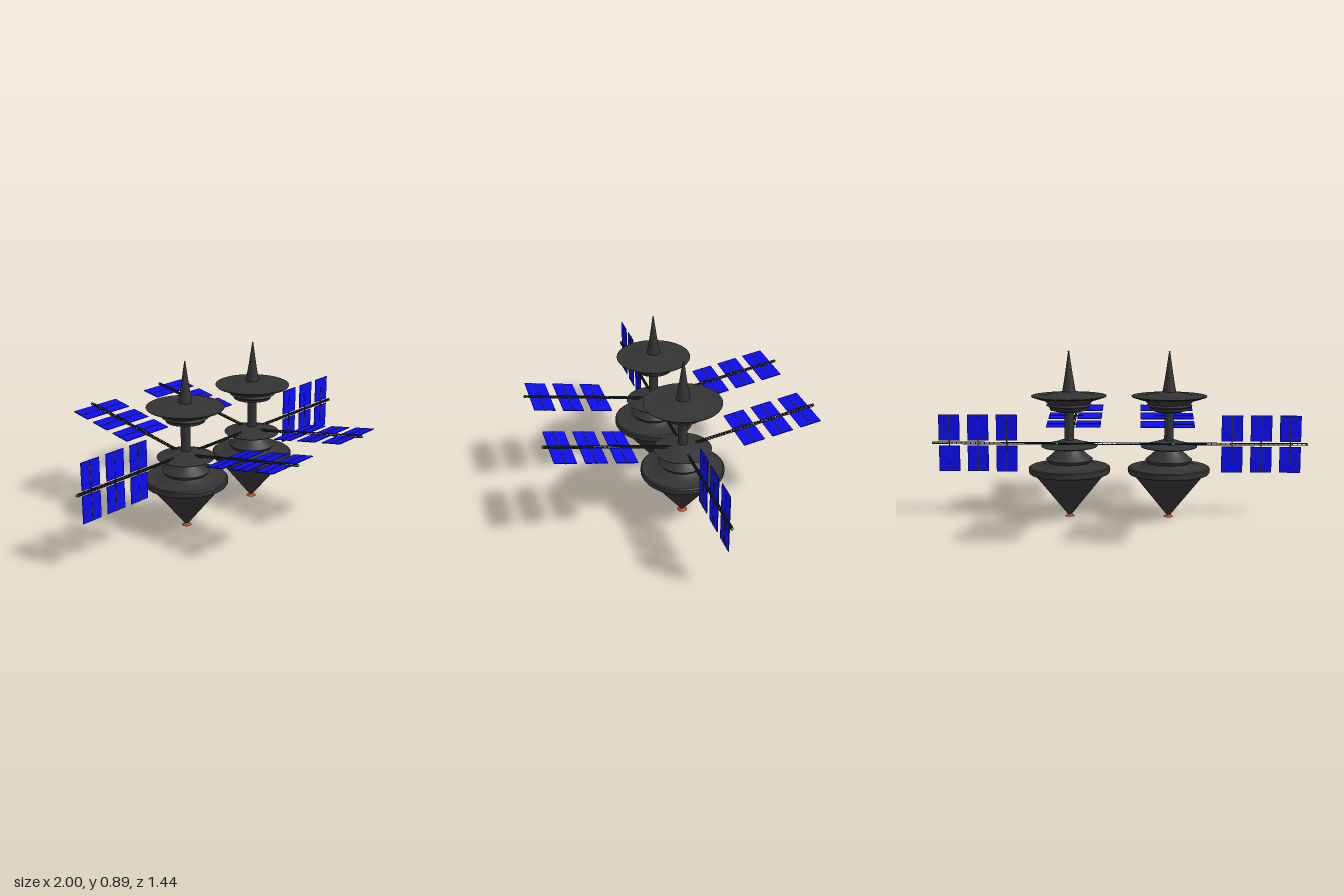
import * as THREE from 'three';
import { toCreasedNormals } from 'three/addons/utils/BufferGeometryUtils.js';

const mat = (color, side = THREE.FrontSide) => new THREE.MeshStandardMaterial({ color, side });
const hullMat = mat(0x333333, THREE.DoubleSide);
const railMat = mat(0x2b2f2b);
const blueMat = mat(0x0c0cf0);
const redMat = mat(0xee1111, THREE.DoubleSide);
const greenMat = mat(0x22aa33);
const orangeMat = mat(0xb5431c, THREE.DoubleSide);
const lampMat = mat(0xcccccc);

const HUB_Y = 0.435;   // height of the truss arms
const SHIP_X = 0.265;  // offset of each station from the middle

function add(parent, name, geometry, material, x = 0, y = 0, z = 0) {
  const mesh = new THREE.Mesh(geometry, material);
  mesh.name = name;
  mesh.position.set(x, y, z);
  parent.add(mesh);
  return mesh;
}

// Turned part from [radius, height] pairs, listed bottom to top
function turned(parent, name, profile, material) {
  const points = profile.map(([r, y]) => new THREE.Vector2(r, y));
  return add(parent, name, toCreasedNormals(new THREE.LatheGeometry(points, 48), 0.45), material);
}

// Lattice boom along +x: four rails with square frames between them
function truss(length) {
  const group = new THREE.Group();
  group.name = 'truss';
  const s = 0.0045, t = 0.003;
  for (const y of [-s, s]) for (const z of [-s, s]) {
    add(group, 'rail', new THREE.BoxGeometry(length, t, t), railMat, length / 2, y, z);
  }
  const bays = Math.round(length / 0.025);
  for (let i = 0; i <= bays; i++) {
    const x = (i / bays) * length;
    for (const d of [-s, s]) {
      add(group, 'rung', new THREE.BoxGeometry(t, 2 * s, t), railMat, x, 0, d);
      add(group, 'rung', new THREE.BoxGeometry(t, t, 2 * s), railMat, x, d, 0);
    }
  }
  return group;
}

// Solar wing along +x with panels spreading in local y
function solarWing(length, firstPanel) {
  const wing = new THREE.Group();
  wing.name = 'solarWing';
  wing.add(truss(length));
  for (let i = 0; i < 3; i++) {
    const x = firstPanel + i * 0.154;
    for (const side of [-1, 1]) {
      add(wing, 'solarPanel', new THREE.BoxGeometry(0.112, 0.139, 0.004), blueMat, x, side * 0.0835, 0);
    }
    add(wing, 'panelSpar', new THREE.BoxGeometry(0.005, 0.306, 0.007), railMat, x, 0, 0);
  }
  add(wing, 'tipLight', new THREE.SphereGeometry(0.007, 12, 8), greenMat, length, 0, 0);
  return wing;
}

function station() {
  const ship = new THREE.Group();
  ship.name = 'station';

  // Lower hull: long cone, rim band and stepped shoulder
  turned(ship, 'lowerHull', [
    [0, 0.045], [0.01, 0.05], [0.19, 0.275], [0.212, 0.277], [0.217, 0.285], [0.217, 0.307],
    [0.21, 0.312], [0.175, 0.311], [0.145, 0.318], [0.122, 0.329], [0.112, 0.335],
    [0.125, 0.352], [0.1, 0.372], [0.075, 0.395], [0.06, 0.415],
  ], hullMat);
  turned(ship, 'engineNozzle', [[0.026, 0.04], [0.015, 0.046], [0.008, 0.056]], orangeMat);

  // Collar with a red underside
  turned(ship, 'collarUnderside', [[0.05, 0.41], [0.11, 0.411], [0.148, 0.42]], redMat);
  turned(ship, 'collar', [
    [0.148, 0.42], [0.15, 0.423], [0.12, 0.432], [0.08, 0.442], [0.045, 0.454], [0, 0.456],
  ], hullMat);
  add(ship, 'mast', new THREE.CylinderGeometry(0.025, 0.025, 0.19, 32), hullMat, 0, 0.525, 0);

  // Upper dish with stepped underside and lip
  turned(ship, 'upperDish', [
    [0, 0.603], [0.055, 0.605], [0.1, 0.617], [0.105, 0.632], [0.122, 0.642], [0.112, 0.65],
    [0.13, 0.667], [0.165, 0.677], [0.198, 0.688], [0.2, 0.692], [0.19, 0.693],
    [0.172, 0.688], [0.13, 0.694], [0.08, 0.706], [0.042, 0.714], [0, 0.716],
  ], hullMat);
  turned(ship, 'spire', [[0.038, 0.70], [0.021, 0.80], [0.004, 0.918], [0, 0.92]], hullMat);
  add(ship, 'spireLight', new THREE.SphereGeometry(0.005, 12, 8), greenMat, 0, 0.924, 0);

  // Small lamps on the rim band
  for (let i = 0; i < 8; i++) {
    const a = (i / 8) * Math.PI * 2;
    add(ship, 'rimLamp', new THREE.SphereGeometry(0.003, 8, 6), lampMat,
      0.217 * Math.cos(a), 0.297, 0.217 * Math.sin(a));
  }

  // Front and back wings, tilted upward, panels lying flat
  for (const side of [-1, 1]) {
    const turn = new THREE.Group();
    turn.name = side > 0 ? 'frontWing' : 'backWing';
    turn.position.y = 0.431;
    turn.rotation.y = -side * Math.PI / 2;
    const wing = solarWing(0.726, 0.336);
    wing.rotation.set(Math.PI / 2, 0, THREE.MathUtils.degToRad(10), 'ZYX');
    turn.add(wing);
    ship.add(turn);
  }
  return ship;
}

export function createModel() {
  const model = new THREE.Group();
  model.name = 'twinSpaceStation';
  for (const side of [-1, 1]) {
    const ship = station();
    ship.position.x = side * SHIP_X;
    model.add(ship);

    // Outer wing, panels standing upright
    const wing = solarWing(0.73, 0.335);
    wing.name = side > 0 ? 'leftWing' : 'rightWing';
    wing.position.set(side * SHIP_X, HUB_Y, 0);
    if (side < 0) wing.rotation.y = Math.PI;
    model.add(wing);
  }
  // Boom joining the two stations
  const link = truss(2 * SHIP_X);
  link.name = 'linkBoom';
  link.position.set(-SHIP_X, HUB_Y, 0);
  model.add(link);
  return model;
}
